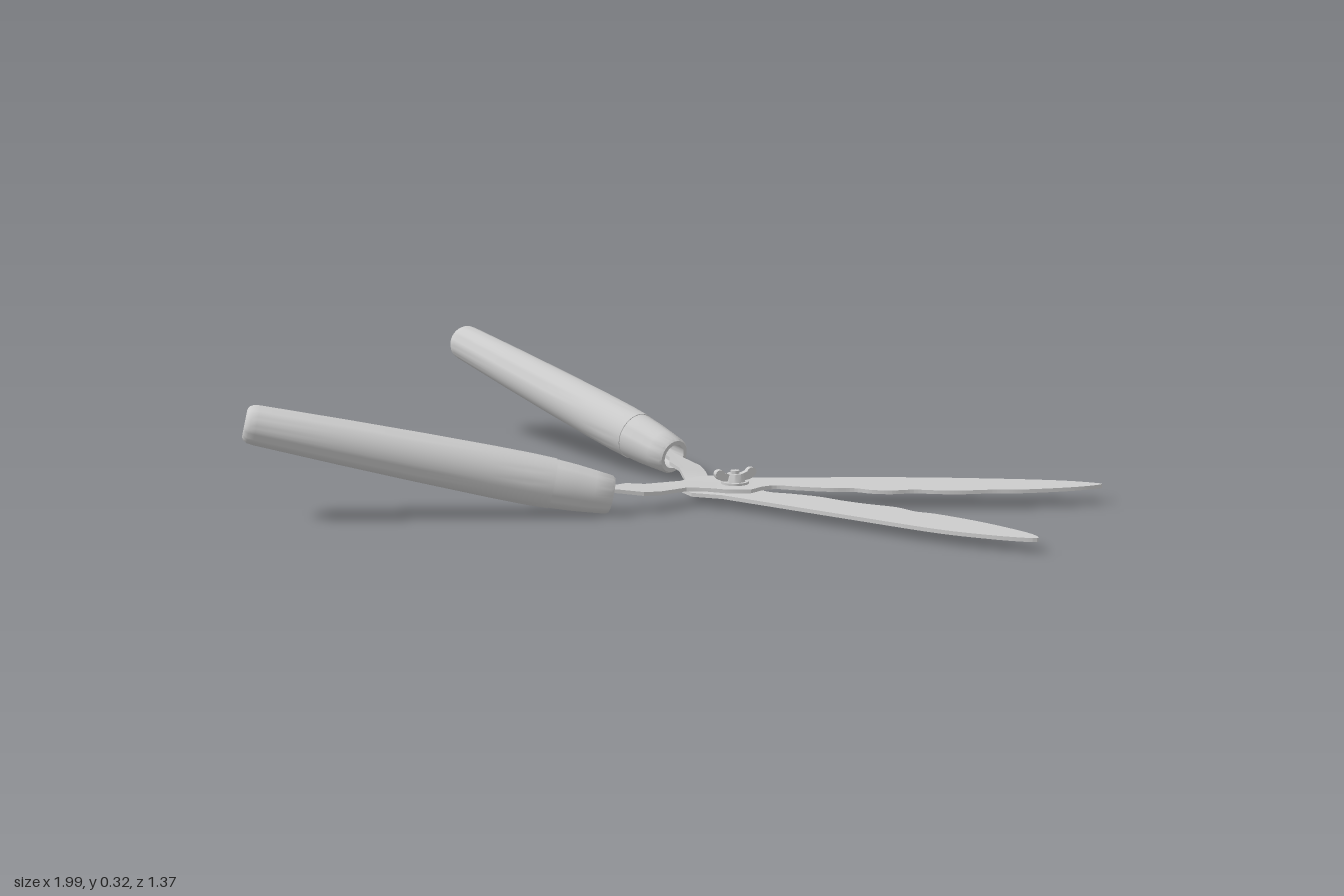
import * as THREE from 'three';
import { toCreasedNormals } from 'three/addons/utils/BufferGeometryUtils.js';

const material = new THREE.MeshStandardMaterial({ color: 0xcccccc });
const PIVOT = { x: 0.1, z: -0.015 };

function add(parent, name, geometry) {
  const mesh = new THREE.Mesh(geometry, material);
  mesh.name = name;
  parent.add(mesh);
  return mesh;
}

// Pivot end and tang outline as [x, z], from the notch round to the start of the blade back
const TANG = [
  [0.18, 0.0], [0.165, 0.045], [0.11, 0.068], [0.05, 0.065], [0.0, 0.08],
  [-0.04, 0.16], [-0.07, 0.2], [-0.125, 0.225], [-0.2, 0.268], [-0.215, 0.238],
  [-0.155, 0.19], [-0.14, 0.15], [-0.1, 0.12], [-0.04, 0.015], [-0.025, -0.06],
  [0.015, -0.095], [0.1, -0.095],
];

// Blade back, rounded tip and wavy cutting edge as [x, z]
const UPPER_BLADE = [
  [0.48, -0.24], [0.72, -0.31], [0.88, -0.345], [0.97, -0.348], [0.998, -0.335],
  [0.94, -0.275], [0.83, -0.203], [0.75, -0.17], [0.68, -0.132], [0.62, -0.112],
  [0.56, -0.1], [0.51, -0.07], [0.46, -0.058], [0.41, -0.063], [0.35, -0.043],
  [0.27, -0.032], [0.21, -0.028], [0.18, 0.0],
];
const LOWER_BLADE = [
  [0.48, 0.2], [0.72, 0.273], [0.86, 0.293], [0.95, 0.293], [0.982, 0.28],
  [0.95, 0.24], [0.87, 0.19], [0.78, 0.145], [0.68, 0.107], [0.62, 0.096],
  [0.56, 0.064], [0.48, 0.052], [0.41, 0.035], [0.34, 0.01],
  [0.26, 0.0], [0.21, 0.0], [0.18, -0.01],
];

// One flat plate: blade, pivot end and tang, with the tang cranked upwards
function plateGeometry(tang, blade, y, thickness, slope) {
  const shape = new THREE.Shape();
  shape.moveTo(...tang[0]);
  tang.slice(1).forEach(p => shape.lineTo(...p));
  shape.splineThru(blade.map(p => new THREE.Vector2(...p)));
  const geometry = new THREE.ExtrudeGeometry(shape, { depth: thickness, bevelEnabled: false, curveSegments: 3 * blade.length });
  geometry.rotateX(Math.PI / 2);
  const pos = geometry.attributes.position;
  for (let i = 0; i < pos.count; i++) {
    const rise = slope * Math.max(0, -pos.getX(i) - 0.02);
    pos.setY(i, pos.getY(i) + y + thickness + rise);
  }
  return toCreasedNormals(geometry, 0.5);
}

// Turned part standing at "start" and pointing along "direction"
function turned(parent, name, profile, start, direction) {
  const points = profile.map(p => new THREE.Vector2(...p));
  const mesh = add(parent, name, toCreasedNormals(new THREE.LatheGeometry(points, 40), 0.6));
  mesh.position.copy(start);
  mesh.quaternion.setFromUnitVectors(new THREE.Vector3(0, 1, 0), direction);
}

// Hollow ferrule followed by a tapering grip with a rounded end
function handle(name, start, end) {
  const group = new THREE.Group();
  group.name = name;
  const direction = end.clone().sub(start);
  const length = direction.length();
  direction.normalize();
  turned(group, 'ferrule', [
    [0, 0.07], [0.032, 0.07], [0.034, 0], [0.045, 0], [0.05, 0.006],
    [0.055, 0.05], [0.06, 0.1], [0.063, 0.15], [0.063, 0.158], [0, 0.158],
  ], start, direction);
  turned(group, 'grip', [
    [0, 0.156], [0.065, 0.156], [0.0665, 0.22], [0.066, 0.32], [0.063, 0.5], [0.058, 0.7],
    [0.051, length - 0.03], [0.049, length - 0.014], [0.043, length - 0.004],
    [0.035, length], [0, length],
  ], start, direction);
  return group;
}

// Wing nut, stud and washer holding the plates together
function pivotBolt() {
  const group = new THREE.Group();
  group.name = 'pivotBolt';
  const cylinder = (name, rTop, rBottom, y0, y1, sides) => {
    const mesh = add(group, name, toCreasedNormals(new THREE.CylinderGeometry(rTop, rBottom, y1 - y0, sides), 0.6));
    mesh.position.y = (y0 + y1) / 2;
  };
  cylinder('boltHead', 0.026, 0.022, 0.029, 0.036, 24);
  cylinder('washer', 0.036, 0.036, 0.059, 0.065, 32);
  cylinder('nutHub', 0.021, 0.027, 0.065, 0.086, 24);
  cylinder('stud', 0.012, 0.012, 0.03, 0.094, 20);
  const wing = new THREE.Shape();
  wing.moveTo(0.014, 0.067);
  wing.lineTo(0.026, 0.067);
  wing.bezierCurveTo(0.045, 0.068, 0.06, 0.078, 0.058, 0.09);
  wing.bezierCurveTo(0.056, 0.102, 0.036, 0.102, 0.032, 0.09);
  wing.lineTo(0.014, 0.083);
  wing.closePath();
  for (const turn of [0, Math.PI]) {
    const geometry = new THREE.ExtrudeGeometry(wing, { depth: 0.016, bevelEnabled: false, curveSegments: 8 });
    geometry.translate(0, 0, -0.008);
    add(group, 'nutWing', toCreasedNormals(geometry, 0.6)).rotation.y = Math.PI / 4 + turn;
  }
  group.position.set(PIVOT.x, 0, PIVOT.z);
  return group;
}

export function createModel() {
  const model = new THREE.Group();
  model.name = 'gardenShears';
  const mirroredTang = TANG.map(([x, z]) => [x, -z - 0.015]);
  add(model, 'upperBlade', plateGeometry(TANG, UPPER_BLADE, 0.049, 0.01, 0.13));
  add(model, 'lowerBlade', plateGeometry(mirroredTang, LOWER_BLADE, 0.036, 0.01, 0.22));
  model.add(handle('frontHandle', new THREE.Vector3(-0.15, 0.057, 0.225), new THREE.Vector3(-0.972, 0.265, 0.645)));
  model.add(handle('backHandle', new THREE.Vector3(-0.153, 0.072, -0.235), new THREE.Vector3(-0.976, 0.285, -0.652)));
  model.add(pivotBolt());
  return model;
}
